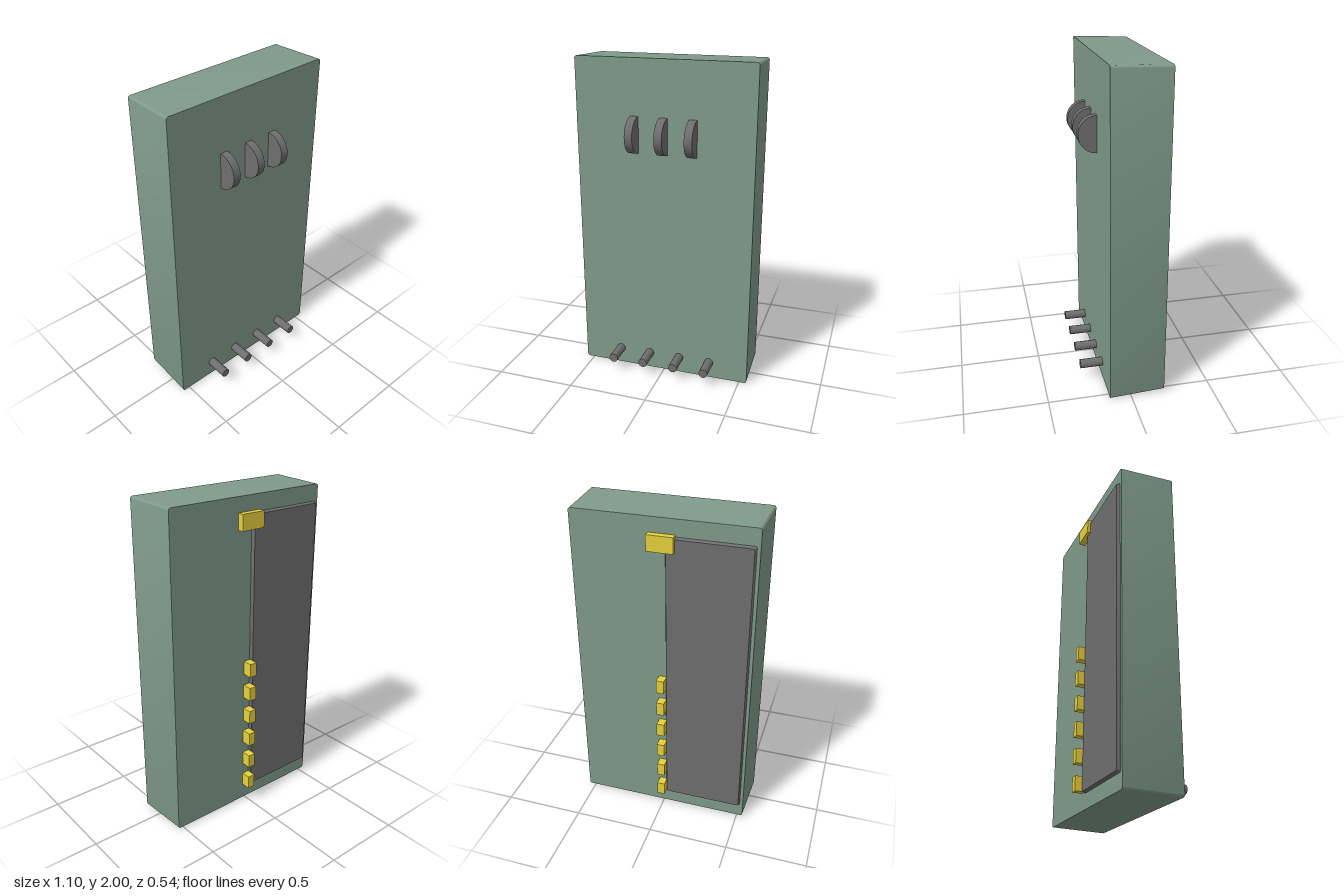
import * as THREE from 'three';
import { toCreasedNormals } from 'three/addons/utils/BufferGeometryUtils.js';

const FRONT = 0.13, BACK = -0.21;

const green = new THREE.MeshStandardMaterial({ color: 0x7f9a8a });
const dark = new THREE.MeshStandardMaterial({ color: 0x6e6e6e });
const yellow = new THREE.MeshStandardMaterial({ color: 0xe6d03c });

// Rounded slab standing in the xy plane, narrowing by `inset` on every side towards its back
function taperedSlab(w, h, depth, inset, r) {
  const x = w / 2, y = h / 2;
  const s = new THREE.Shape();
  s.absarc(x - r, y - r, r, 0, Math.PI / 2);
  s.absarc(-x + r, y - r, r, Math.PI / 2, Math.PI);
  s.absarc(-x + r, -y + r, r, Math.PI, Math.PI * 1.5);
  s.absarc(x - r, -y + r, r, Math.PI * 1.5, Math.PI * 2);
  const geo = new THREE.ExtrudeGeometry(s, { depth, bevelEnabled: false, curveSegments: 6 });
  geo.translate(0, 0, -depth);
  const p = geo.attributes.position;
  for (let i = 0; i < p.count; i++) {
    const t = -p.getZ(i) / depth;
    p.setX(i, p.getX(i) * (1 - (t * inset) / x));
    p.setY(i, p.getY(i) * (1 - (t * inset) / y));
  }
  return toCreasedNormals(geo, 0.6);
}

export function createModel() {
  const model = new THREE.Group();
  model.name = 'device';
  const add = (name, geo, mat, x, y, z) => {
    const mesh = new THREE.Mesh(geo, mat);
    mesh.name = name;
    mesh.position.set(x, y, z);
    model.add(mesh);
  };

  // Case, and the raised panel on one half of its back
  add('case', taperedSlab(1.096, 2, FRONT - BACK, 0.01, 0.015), green, 0, 1, FRONT);
  add('backPanel', taperedSlab(0.498, 1.79, 0.02, 0.008, 0.012), dark, -0.269, 0.995, BACK);

  // Half-sunk thumb wheels
  const wheel = new THREE.CylinderGeometry(0.11, 0.11, 0.048, 32, 1, false, -Math.PI / 2, Math.PI);
  wheel.rotateZ(Math.PI / 2);
  for (const x of [-0.18, 0, 0.18]) add('thumbWheel', wheel, dark, x, 1.555, FRONT);

  // Row of pegs along the bottom of the front
  const peg = new THREE.CylinderGeometry(0.028, 0.028, 0.14, 24);
  peg.rotateX(Math.PI / 2);
  for (const x of [-0.3, -0.1, 0.1, 0.3]) add('peg', peg, dark, x, 0.105, FRONT + 0.07);

  // Latch at the top of the panel and the row of contacts along its edge
  add('latch', new THREE.BoxGeometry(0.156, 0.095, 0.04), yellow, 0, 1.853, BACK - 0.02);
  const contact = new THREE.BoxGeometry(0.048, 0.086, 0.06);
  for (let i = 0; i < 6; i++) add('contact', contact, yellow, 0, 0.153 + i * 0.16, BACK - 0.03);

  return model;
}
